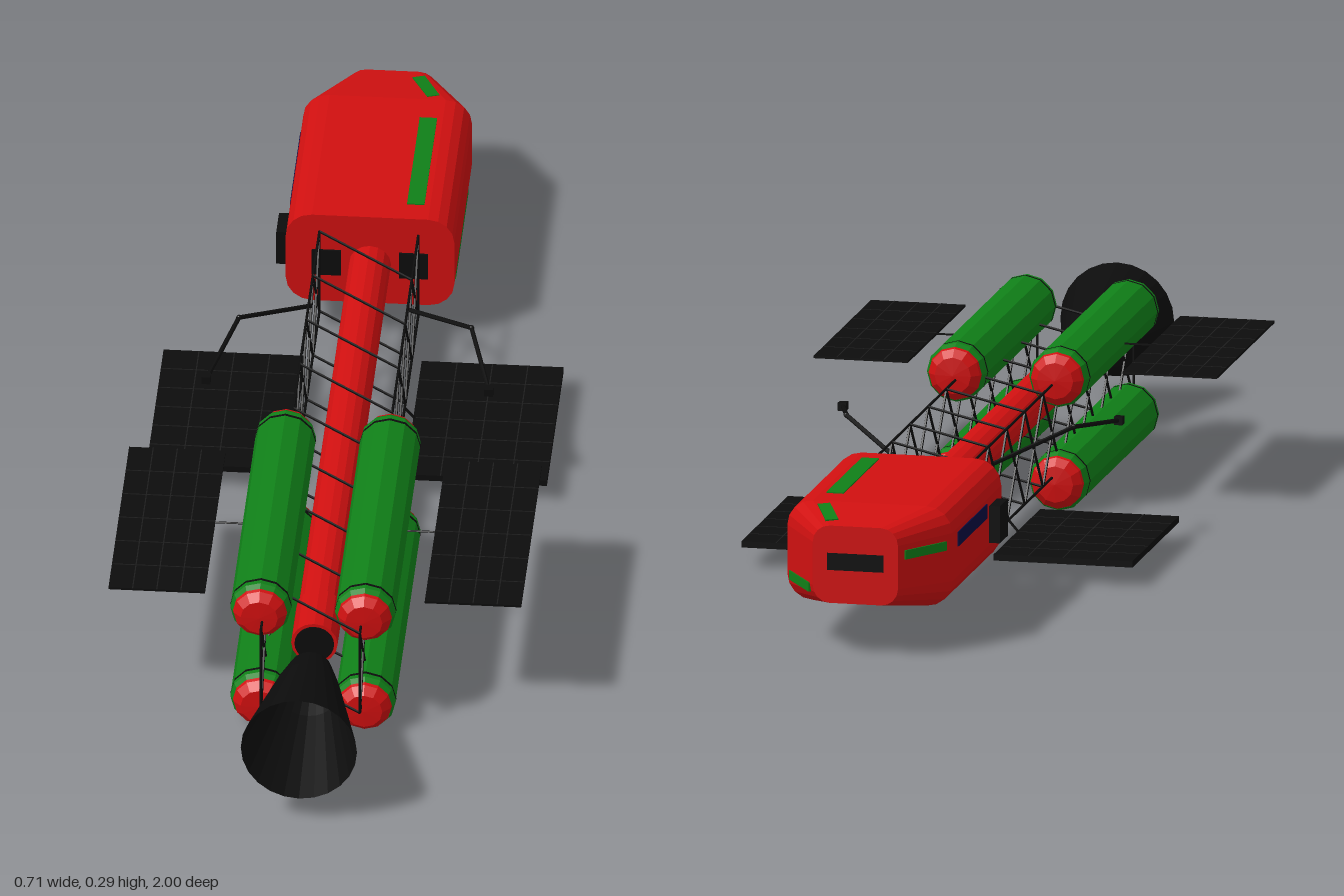
import * as THREE from 'three';

const RED = 0xd01010, GREEN = 0x108018, BLACK = 0x0c0c0c, NAVY = 0x0a0a40;
const AXIS = 0.147; // height of the ship's long axis
const mats = {};
const mat = (color) => (mats[color] ??= new THREE.MeshStandardMaterial({
  color, flatShading: true, side: THREE.DoubleSide }));

function add(parent, name, geo, color, x = 0, y = 0, z = 0) {
  const mesh = new THREE.Mesh(geo, mat(color));
  mesh.name = name;
  mesh.position.set(x, y, z);
  parent.add(mesh);
  return mesh;
}
const box = (parent, name, w, h, d, color, x, y, z) =>
  add(parent, name, new THREE.BoxGeometry(w, h, d), color, x, y, z);

// Round bar between two points
function bar(parent, name, a, b, r, color = BLACK, sides = 5) {
  const p = new THREE.Vector3(...a), q = new THREE.Vector3(...b);
  const d = q.clone().sub(p);
  const mesh = add(parent, name, new THREE.CylinderGeometry(r, r, d.length(), sides), color);
  mesh.position.copy(p).add(q).multiplyScalar(0.5);
  mesh.quaternion.setFromUnitVectors(new THREE.Vector3(0, 1, 0), d.normalize());
  return mesh;
}

// Turned part along z from [radius, z] pairs
function turned(parent, name, profile, sides, color, x, y) {
  const geo = new THREE.LatheGeometry(profile.map(([r, z]) => new THREE.Vector2(r, z)), sides);
  geo.rotateX(Math.PI / 2);
  return add(parent, name, geo, color, x, y, 0);
}

// Rounded rectangle ring at a given z
function ring({ z, y, hw, hh, r }) {
  const pts = [], n = 4;
  for (let c = 0; c < 4; c++) {
    const sx = c === 0 || c === 3 ? 1 : -1, sy = c < 2 ? 1 : -1;
    for (let i = 0; i <= n; i++) {
      const a = (c + i / n) * Math.PI / 2;
      pts.push([sx * (hw - r) + r * Math.cos(a), y + sy * (hh - r) + r * Math.sin(a), z]);
    }
  }
  return pts;
}

// Skin over rings running from front (+z) to back, with closed ends
function loft(sections) {
  const rings = sections.map(ring), n = rings[0].length, pos = rings.flat(2), idx = [];
  for (let k = 0; k < rings.length - 1; k++) for (let i = 0; i < n; i++) {
    const a = k * n + i, b = k * n + (i + 1) % n;
    idx.push(a, a + n, b, b, a + n, b + n);
  }
  const last = (rings.length - 1) * n;
  for (let i = 1; i < n - 1; i++) idx.push(0, i, i + 1, last, last + i + 1, last + i);
  const geo = new THREE.BufferGeometry();
  geo.setAttribute('position', new THREE.Float32BufferAttribute(pos, 3));
  geo.setIndex(idx);
  geo.computeVertexNormals();
  return geo;
}

function crewModule() {
  const g = new THREE.Group();
  g.name = 'crewModule';
  add(g, 'hull', loft([
    { z: -0.515, y: 0.1575, hw: 0.145, hh: 0.0875, r: 0.045 },
    { z: -0.89, y: 0.1575, hw: 0.145, hh: 0.0875, r: 0.045 },
    { z: -1, y: 0.16, hw: 0.075, hh: 0.068, r: 0.03 },
  ]), RED);
  box(g, 'noseWindow', 0.1, 0.03, 0.004, BLACK, 0, 0.165, -0.999);
  box(g, 'topStripe', 0.03, 0.004, 0.27, GREEN, 0.075, 0.245, -0.695);
  box(g, 'topNoseStripe', 0.022, 0.004, 0.08, GREEN, 0.062, 0.237, -0.94).rotation.set(-0.14, 0.4, 0);
  box(g, 'leftStripe', 0.006, 0.014, 0.27, GREEN, 0.141, 0.103, -0.695);
  box(g, 'rightStripe', 0.004, 0.025, 0.22, NAVY, -0.145, 0.18, -0.74);
  for (const s of [1, -1])
    box(g, 'sideNoseStripe', 0.005, 0.016, 0.1, GREEN, s * 0.11, s > 0 ? 0.115 : 0.18, -0.945)
      .rotation.y = s * 0.567;
  // side hatch
  box(g, 'hatch', 0.02, 0.065, 0.06, BLACK, -0.154, 0.152, -0.578);
  // dark panels on the bulkhead
  for (const s of [1, -1])
    box(g, 'bulkheadPanel', 0.05, 0.05, 0.006, BLACK, s * 0.075, 0.15, -0.514);
  return g;
}

function truss() {
  const g = new THREE.Group();
  g.name = 'truss';
  const X = 0.085, LO = 0.065, HI = 0.228, Z0 = -0.49, Z1 = 0.755, bays = 9, r = 0.0024;
  const step = (Z1 - Z0) / bays;
  for (const x of [-X, X]) for (const y of [LO, HI])
    bar(g, 'longeron', [x, y, Z0], [x, y, Z1], r);
  for (let i = 0; i < bays; i++) {
    const a = Z0 + i * step, b = a + step;
    for (const x of [-X, X]) {
      bar(g, 'sideBrace', [x, LO, a], [x, HI, b], r);
      bar(g, 'sideBrace', [x, HI, a], [x, LO, b], r);
    }
    for (const y of [LO, HI])
      bar(g, 'crossBrace', [-X, y, a], [X, y, b], r);
  }
  for (const z of [Z0, Z1]) for (const x of [-X, X])
    bar(g, 'endPost', [x, LO, z], [x, HI, z], r);
  return g;
}

function tank(x, y) {
  const g = new THREE.Group();
  g.name = 'propellantTank';
  turned(g, 'tankBody', [[0.047, 0.152], [0.052, 0.162], [0.052, 0.702], [0.047, 0.712]], 12, GREEN, x, y);
  turned(g, 'tankAftCap', [[0.047, 0.711], [0.045, 0.718], [0.032, 0.732], [0, 0.734]], 12, RED, x, y);
  turned(g, 'tankForeCap', [[0, 0.13], [0.032, 0.133], [0.045, 0.146], [0.047, 0.153]], 12, RED, x, y);
  for (const z of [0.175, 0.69])
    turned(g, 'tankBand', [[0.0525, z - 0.003], [0.0525, z + 0.003]], 12, BLACK, x, y);
  return g;
}

// Flat array with a raised grid of cell seams
function solarPanel(name, x, y, z, w, h, d) {
  const g = new THREE.Group();
  g.name = name;
  g.position.set(x, y, z);
  box(g, 'panelPlate', w, h, d, BLACK, 0, 0, 0);
  for (let i = 1; i < 6; i++)
    box(g, 'panelSeam', w, 0.001, 0.002, 0x1c1c1c, 0, h / 2, (i / 6 - 0.5) * d);
  for (let i = 1; i < 4; i++)
    box(g, 'panelSeam', 0.002, 0.001, d, 0x1c1c1c, (i / 4 - 0.5) * w, h / 2, 0);
  return g;
}

function robotArm(s) {
  const g = new THREE.Group();
  g.name = 'robotArm';
  const shoulder = [s * 0.085, 0.19, -0.315], elbow = [s * 0.2, 0.235, -0.2], wrist = [s * 0.243, 0.213, -0.04];
  bar(g, 'upperArm', shoulder, elbow, 0.004, BLACK, 8);
  bar(g, 'forearm', elbow, wrist, 0.004, BLACK, 8);
  add(g, 'elbowJoint', new THREE.SphereGeometry(0.005, 8, 6), BLACK, ...elbow);
  box(g, 'gripper', 0.015, 0.014, 0.016, BLACK, ...wrist);
  return g;
}

export function createModel() {
  const ship = new THREE.Group();
  ship.name = 'spaceship';
  ship.add(crewModule(), truss());

  // central spine with aft collar and dark end plate
  turned(ship, 'spine', [[0.036, -0.52], [0.036, 0.57]], 16, RED, 0, AXIS + 0.003);
  turned(ship, 'spineCollar', [[0.036, 0.56], [0.04, 0.562], [0.04, 0.67], [0, 0.67]], 16, RED, 0, AXIS);
  turned(ship, 'endPlate', [[0.034, 0.668], [0.034, 0.673], [0, 0.673]], 24, BLACK, 0, AXIS);
  for (const s of [1, -1])
    box(ship, 'spineStripe', 0.004, 0.012, 0.45, GREEN, s * 0.031, 0.132, -0.125);

  // engine bell, open at both ends
  turned(ship, 'engineBell', [[0.037, 0.75], [0.055, 0.81], [0.1, 1]], 24, BLACK, 0, AXIS - 0.002);

  for (const s of [1, -1]) {
    for (const y of [0.053, 0.235]) ship.add(tank(s * 0.09, y));
    ship.add(solarPanel('foreSolarPanel', s * 0.222, 0.04, -0.2, 0.244, 0.011, 0.355));
    ship.add(solarPanel('aftSolarPanel', s * 0.272, 0.235, 0.44, 0.166, 0.004, 0.44));
    bar(ship, 'panelStrut', [s * 0.13, 0.235, 0.44], [s * 0.19, 0.235, 0.44], 0.0018);
    bar(ship, 'panelMount', [s * 0.085, 0.065, -0.2], [s * 0.105, 0.042, -0.2], 0.0025);
    ship.add(robotArm(s));
  }
  return ship;
}
